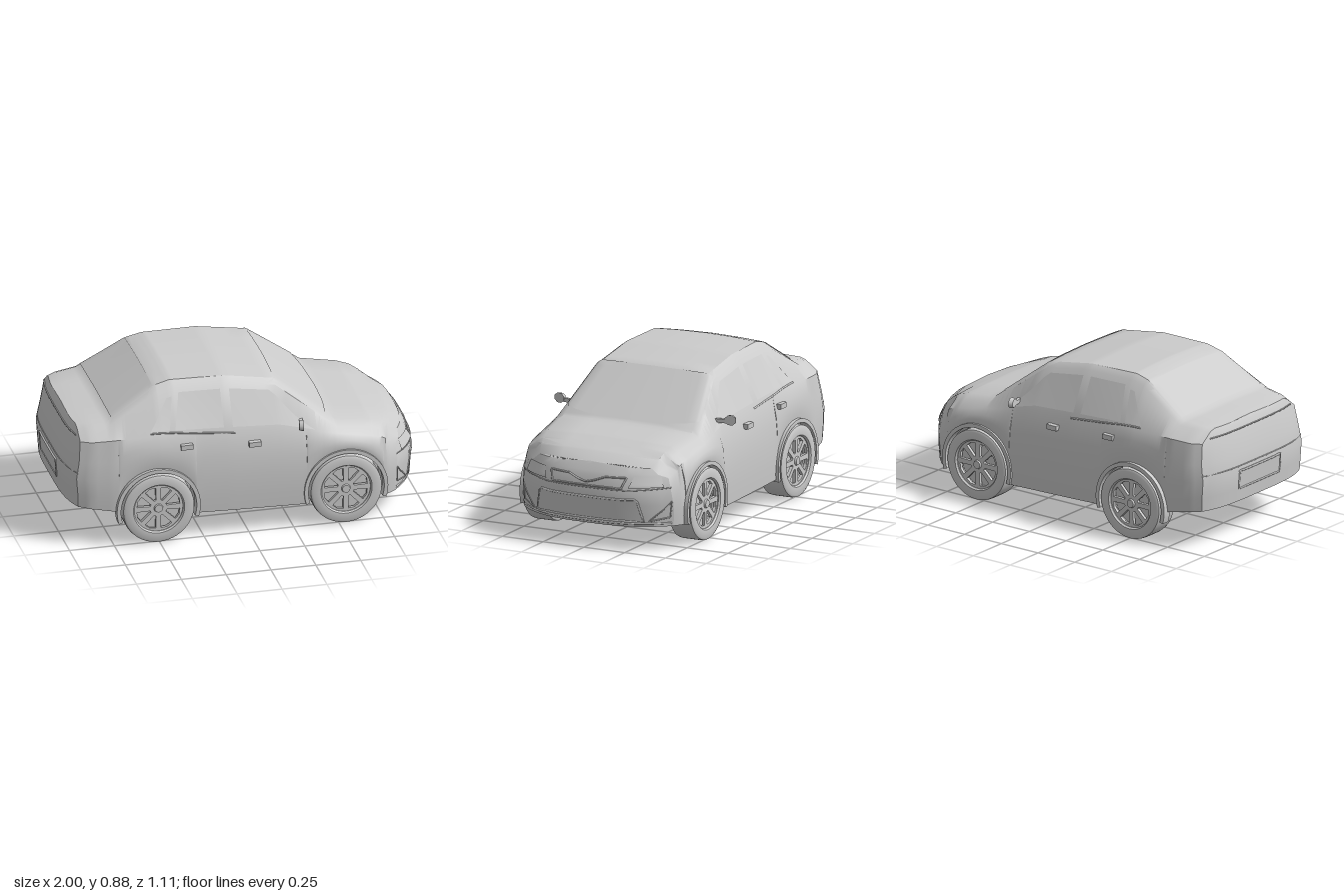
import * as THREE from 'three';
import { toCreasedNormals } from 'three/addons/utils/BufferGeometryUtils.js';

const material = new THREE.MeshStandardMaterial({ color: 0xcccccc, side: THREE.DoubleSide });
const lerp = THREE.MathUtils.lerp;
const WHEELS = [-0.505, 0.54], ARCH = 0.215, REAR = -0.93, FRONT = 0.92;

// Body stations: x, top height, roof half width, roof edge height, belt height, belt half width, half width
const STATIONS = [
  [-0.93, 0.668, 0.34, 0.652, 0.60, 0.41, 0.44], [-0.88, 0.676, 0.37, 0.657, 0.60, 0.44, 0.47],
  [-0.75, 0.692, 0.39, 0.667, 0.61, 0.465, 0.49], [-0.48, 0.86, 0.35, 0.82, 0.615, 0.47, 0.5],
  [-0.4, 0.88, 0.345, 0.84, 0.615, 0.47, 0.5], [-0.1, 0.876, 0.355, 0.838, 0.60, 0.47, 0.505],
  [0.18, 0.83, 0.36, 0.795, 0.585, 0.467, 0.505], [0.5, 0.582, 0.44, 0.55, 0.52, 0.475, 0.505],
  [0.7, 0.552, 0.42, 0.52, 0.48, 0.47, 0.5], [0.86, 0.505, 0.40, 0.455, 0.43, 0.455, 0.485],
  [0.92, 0.465, 0.38, 0.42, 0.40, 0.43, 0.46],
];
const SILL = [[-1, 0.235], [-0.7, 0.19], [-0.3, 0.145], [0.33, 0.13], [1, 0.135]];
const TAIL = [[0.2, -0.055], [0.4, -0.07], [0.43, -0.06], [0.62, -0.025], [0.668, 0]];
const NOSE = [[0.13, 0.055], [0.3, 0.072], [0.36, 0.06], [0.42, 0.03], [0.465, 0]];

function table(rows, x, col = 1) {
  if (x <= rows[0][0]) return rows[0][col];
  for (let i = 1; i < rows.length; i++) {
    const a = rows[i - 1], b = rows[i];
    if (x <= b[0]) return lerp(a[col], b[col], (x - a[0]) / (b[0] - a[0]));
  }
  return rows[rows.length - 1][col];
}

// Rounds the nose and tail in plan and profile
function warp(s, y, z) {
  const f = Math.max(0, (s - 0.77) / (FRONT - 0.77)), r = Math.max(0, (-0.73 - s) / (-0.73 - REAR));
  const q = Math.abs(z) / 0.5;
  const x = s + f * (table(NOSE, y) - 0.2 * q ** 3) + r * (table(TAIL, y) + 0.09 * q ** 4);
  return new THREE.Vector3(x, y, z);
}

// Half cross-section, from roof centre round to floor centre
function section(s) {
  const [T, r, yr, B, wb, w] = [1, 2, 3, 4, 5, 6].map((c) => table(STATIONS, s, c));
  const sill = table(SILL, s);
  let yb = sill;
  for (const cx of WHEELS) {
    const d = Math.abs(s - cx);
    if (d < ARCH) yb = 0.2 + Math.sqrt(ARCH * ARCH - d * d);
  }
  return [[T, 0], [T - 0.004, r * 0.5], [lerp(T, yr, 0.3), r * 0.9], [yr, r], [B, wb],
    [lerp(B, yb, 0.3), w - 0.008], [lerp(B, yb, 0.55), w], [lerp(B, yb, 0.8), w], [yb, w - 0.005],
    [yb, 0.37], [sill, 0.37], [sill, 0]];
}

// Point on the body; v runs from -11 to 11 with 0 on the centre line
function bodyPoint(s, v) {
  const sec = section(s), a = Math.abs(v), i = Math.min(10, Math.floor(a)), t = a - i;
  const y = lerp(sec[i][0], sec[i + 1][0], t), z = lerp(sec[i][1], sec[i + 1][1], t);
  return warp(s, y, v < 0 ? -z : z);
}

// Surface through a grid of points
function gridGeometry(nu, nv, fn) {
  const pos = [], idx = [];
  for (let i = 0; i <= nu; i++) for (let j = 0; j <= nv; j++) pos.push(...fn(i, j).toArray());
  for (let i = 0; i < nu; i++) for (let j = 0; j < nv; j++) {
    const a = i * (nv + 1) + j, b = a + 1, c = a + nv + 1, d = c + 1;
    idx.push(a, b, c, b, d, c);
  }
  const g = new THREE.BufferGeometry();
  g.setAttribute('position', new THREE.Float32BufferAttribute(pos, 3));
  g.setIndex(idx);
  return toCreasedNormals(g, 0.55);
}

export function createModel() {
  const model = new THREE.Group();
  const add = (name, geo, parent = model) => {
    const m = new THREE.Mesh(geo, material);
    m.name = name;
    parent.add(m);
    return m;
  };

  // Body shell, with extra stations on the wheel arches
  const xs = STATIONS.map((s) => s[0]);
  for (let x = -0.9; x < 0.9; x += 0.06) xs.push(x);
  for (const cx of WHEELS) {
    xs.push(cx - ARCH - 1e-4, cx + ARCH + 1e-4);
    for (let i = 0; i <= 20; i++) xs.push(cx - (ARCH - 1e-5) * Math.cos((i / 20) * Math.PI));
  }
  xs.sort((a, b) => a - b);
  add('bodyShell', gridGeometry(xs.length - 1, 22, (i, j) => bodyPoint(xs[i], j - 11)));

  // Nose and tail faces
  for (const [name, s, dir] of [['noseFace', FRONT, 1], ['tailFace', REAR, -1]]) {
    const sec = section(s);
    add(name, gridGeometry(8, 20, (i, j) => warp(s, sec[i][0], -dir * sec[i][1] * (j / 10 - 1))));
  }

  // Glass, laid just over the shell
  const glass = (name, s0, s1, v0, v1, off) => add(name, gridGeometry(16, 16, (i, j) => {
    const t = j / 16, v = lerp(v0, v1, t);
    return bodyPoint(lerp(s0(t), s1(t), i / 16), v).add(new THREE.Vector3(...off));
  }));
  const bow = (t) => (2 * t - 1) ** 2;
  glass('windscreen', (t) => 0.185 - 0.02 * bow(t), (t) => 0.485 - 0.07 * bow(t), -2.75, 2.75, [0.003, 0.003, 0]);
  glass('rearWindow', () => -0.73, () => -0.49, -2.3, 2.3, [-0.003, 0.003, 0]);
  for (const m of [-1, 1]) {
    const off = [0, 0.001, m * 0.003];
    glass('frontSideWindow', () => -0.08, (t) => lerp(0.14, 0.38, t), m * 3.12, m * 3.92, off);
    glass('rearSideWindow', (t) => lerp(-0.36, -0.4, t), () => -0.13, m * 3.12, m * 3.92, off);
    glass('quarterWindow', (t) => lerp(-0.43, -0.54, t), (t) => lerp(-0.4, -0.43, t), m * 3.2, m * 3.9, off);
  }

  // Trim lines and raised panels following the nose or tail
  const trim = (name, s, pts, radius, closed = true) => {
    const dense = [], n = pts.length;
    for (let i = 0; i < (closed ? n : n - 1); i++) for (let k = 0; k < 8; k++) {
      const a = pts[i], b = pts[(i + 1) % n], t = k / 8;
      dense.push(warp(s, lerp(a[1], b[1], t), lerp(a[0], b[0], t)));
    }
    if (!closed) dense.push(warp(s, pts[n - 1][1], pts[n - 1][0]));
    add(name, new THREE.TubeGeometry(new THREE.CatmullRomCurve3(dense, closed), dense.length * 2, radius, 6, closed));
  };
  const panel = (name, s, [a, b, c, d], off) => add(name, gridGeometry(10, 10, (i, j) => {
    const mix = (k) => lerp(lerp(a[k], b[k], i / 10), lerp(d[k], c[k], i / 10), j / 10);
    const p = warp(s, mix(1), mix(0));
    p.x += off;
    return p;
  }));
  trim('grilleFrame', FRONT, [[-0.21, 0.345], [0.21, 0.345], [0.23, 0.4], [0.11, 0.397], [0.05, 0.375],
    [0, 0.363], [-0.05, 0.375], [-0.11, 0.397], [-0.23, 0.4]], 0.005);
  const intake = [[-0.325, 0.165], [0.325, 0.165], [0.295, 0.285], [-0.295, 0.285]];
  trim('intakeFrame', FRONT, intake, 0.006);
  panel('intakePanel', FRONT, intake, 0.003);
  trim('frontLip', FRONT, [[-0.45, 0.152], [0.45, 0.152]], 0.006, false);
  trim('frontBumperLine', FRONT, [[-0.45, 0.35], [-0.25, 0.335], [0.25, 0.335], [0.45, 0.35]], 0.003, false);
  for (const m of [-1, 1]) {
    trim('fogLampFrame', FRONT, [[m * 0.35, 0.165], [m * 0.445, 0.185], [m * 0.455, 0.275], [m * 0.425, 0.235]], 0.004);
    panel('headlight', FRONT, [[m * 0.25, 0.35], [m * 0.42, 0.355], [m * 0.40, 0.415], [m * 0.27, 0.41]], 0.006);
  }
  const plate = [[-0.18, 0.3], [0.18, 0.3], [0.18, 0.4], [-0.18, 0.4]];
  trim('numberPlateFrame', REAR, plate, 0.006);
  panel('numberPlatePanel', REAR, plate, -0.002);
  trim('rearBumperLine', REAR, [[-0.44, 0.425], [0.44, 0.425]], 0.004, false);
  trim('bootLidLine', REAR, [[-0.36, 0.62], [0.36, 0.62]], 0.004, false);

  // Wheel parts
  const tireProfile = [[0.138, -0.07], [0.185, -0.0725], [0.197, -0.066], [0.2, -0.05], [0.2, 0.05],
    [0.197, 0.066], [0.185, 0.0725], [0.143, 0.07], [0.136, 0.06], [0.136, 0.02]].map((p) => new THREE.Vector2(...p));
  const tireGeo = toCreasedNormals(new THREE.LatheGeometry(tireProfile, 48).rotateX(Math.PI / 2), 0.6);
  const rim = new THREE.Shape().absarc(0, 0, 0.138, 0, Math.PI * 2);
  for (let i = 0; i < 8; i++) {
    const at = (r, da) => {
      const a = (i + 0.5) * Math.PI / 4 + da;
      return new THREE.Vector2(r * Math.cos(a), r * Math.sin(a));
    };
    rim.holes.push(new THREE.Path([at(0.048, -0.12), at(0.12, -0.27), at(0.125, 0), at(0.12, 0.27), at(0.048, 0.12)]));
  }
  const rimGeo = new THREE.ExtrudeGeometry(rim, { depth: 0.018, bevelEnabled: false, curveSegments: 48 });
  const hubGeo = new THREE.CylinderGeometry(0.022, 0.026, 0.012, 20).rotateX(Math.PI / 2);
  const backGeo = new THREE.CylinderGeometry(0.138, 0.138, 0.02, 40).rotateX(Math.PI / 2);

  // Arch lip
  const lip = new THREE.Shape().absarc(0, 0, 0.233, -0.3, Math.PI + 0.3);
  lip.absarc(0, 0, 0.211, Math.PI + 0.3, -0.3, true);
  const lipGeo = new THREE.ExtrudeGeometry(lip, { depth: 0.05, bevelEnabled: false, curveSegments: 32 });

  for (const m of [1, -1]) {
    for (const [i, cx] of WHEELS.entries()) {
      const wheel = new THREE.Group();
      wheel.name = i ? 'frontWheel' : 'rearWheel';
      wheel.position.set(cx, 0.2, m * 0.4475);
      if (m < 0) wheel.rotation.y = Math.PI;
      add('tire', tireGeo, wheel);
      add('rim', rimGeo, wheel).position.z = 0.038;
      add('hubCap', hubGeo, wheel).position.z = 0.06;
      add('brakeDisc', backGeo, wheel).position.z = 0.005;
      add('archLip', lipGeo, wheel).position.z = 0.0175;
      model.add(wheel);
    }

    // Door handles and belt moulding
    for (const [x, y] of [[-0.345, 0.545], [0.035, 0.52]])
      add('doorHandle', new THREE.BoxGeometry(0.066, 0.028, 0.03)).position.set(x, y, m * 0.495);
    const line = [];
    for (let i = 0; i <= 10; i++) line.push(bodyPoint(lerp(-0.54, -0.07, i / 10), m * lerp(3.93, 4.08, i / 10)));
    add('beltMoulding', new THREE.TubeGeometry(new THREE.CatmullRomCurve3(line), 20, 0.005, 6));

    // Door mirror
    const mirror = new THREE.Group();
    mirror.name = 'doorMirror';
    mirror.position.set(0.287, 0.612, m * 0.522);
    mirror.rotation.y = -m * 0.2;
    add('mirrorHousing', new THREE.CylinderGeometry(0.03, 0.036, 0.024, 8).rotateZ(Math.PI / 2)
      .rotateX(Math.PI / 8).scale(1, 0.82, 0.95), mirror);
    add('mirrorArm', new THREE.BoxGeometry(0.018, 0.022, 0.08), mirror).position.set(0, -0.008, -m * 0.05);
    model.add(mirror);
  }
  return model;
}
